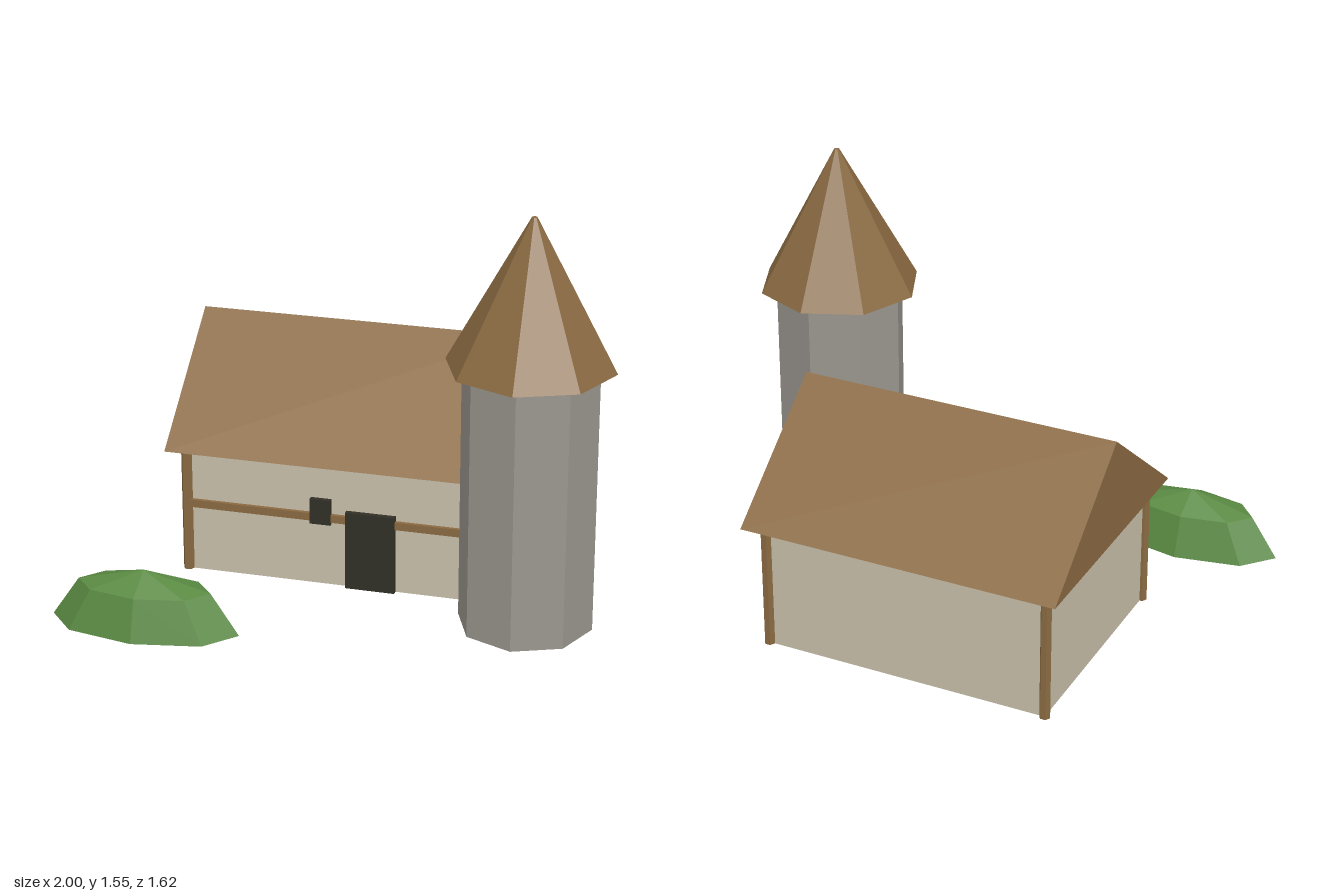
import * as THREE from 'three';

export function createModel() {
  const model = new THREE.Group();
  model.name = 'farmhouseWithTower';

  const material = (name, color, extra = {}) => {
    const m = new THREE.MeshStandardMaterial({ color, flatShading: true, ...extra });
    m.name = name;
    return m;
  };
  const plaster = material('plaster', 0xc8c0aa);
  const timber = material('brownTimber', 0x8a6a42);
  const stone = material('greyStone', 0x9a958e);
  const dark = material('darkWood', 0x323026);
  const leaf = material('leafGreen', 0x5a8a43, { side: THREE.DoubleSide });

  const add = (name, geometry, mat, x, y, z, parent = model) => {
    const mesh = new THREE.Mesh(geometry, mat);
    mesh.name = name;
    mesh.position.set(x, y, z);
    parent.add(mesh);
    return mesh;
  };
  const box = (w, h, d) => new THREE.BoxGeometry(w, h, d);

  // House: origin at the middle of its floor
  const W = 1.11, D = 0.88, H = 0.5;
  const house = new THREE.Group();
  house.name = 'house';
  house.position.set(-0.088, 0, -0.3);
  model.add(house);
  add('walls', box(W, H, D), plaster, 0, H / 2, 0, house);

  // Corner posts
  for (const sx of [-1, 1]) {
    for (const sz of [-1, 1]) {
      const post = add('cornerPost', new THREE.CylinderGeometry(0.021, 0.021, H, 6), timber,
        sx * W / 2, H / 2, sz * D / 2, house);
      post.rotation.y = Math.PI / 6;
    }
  }

  // Beams on the front and on the tower side
  add('frontBeam', box(W, 0.03, 0.03), timber, 0, 0.275, D / 2, house);
  add('sideBeam', box(0.03, 0.03, D), timber, W / 2, 0.275, 0, house);

  // Gabled roof, a solid prism along x
  const gable = new THREE.Shape([
    new THREE.Vector2(-0.51, 0), new THREE.Vector2(0.51, 0), new THREE.Vector2(0, 0.4),
  ]);
  const roofLength = 1.236;
  const roofGeometry = new THREE.ExtrudeGeometry(gable, { depth: roofLength, bevelEnabled: false });
  roofGeometry.translate(0, 0, -roofLength / 2).rotateY(Math.PI / 2);
  add('roof', roofGeometry, timber, 0, H, 0, house);

  // Door and window, standing slightly proud of the front wall
  add('door', box(0.19, 0.31, 0.04), dark, 0.163, 0.155, D / 2, house);
  add('window', box(0.08, 0.1, 0.04), dark, -0.029, 0.3, D / 2, house);

  // Eight-sided tower with its pointed roof
  add('tower', new THREE.CylinderGeometry(0.25, 0.25, 1, 8), stone, 0.688, 0.5, 0.253);
  add('towerRoof', new THREE.CylinderGeometry(0.01, 0.31, 0.55, 8), timber, 0.688, 1.275, 0.253);

  // Bush: open low-poly dome
  const dome = new THREE.SphereGeometry(1, 8, 2, 0, Math.PI * 2, 0, Math.PI / 2);
  dome.scale(0.358, 0.22, 0.165);
  add('bush', dome, leaf, -0.641, 0, 0.641);

  return model;
}
